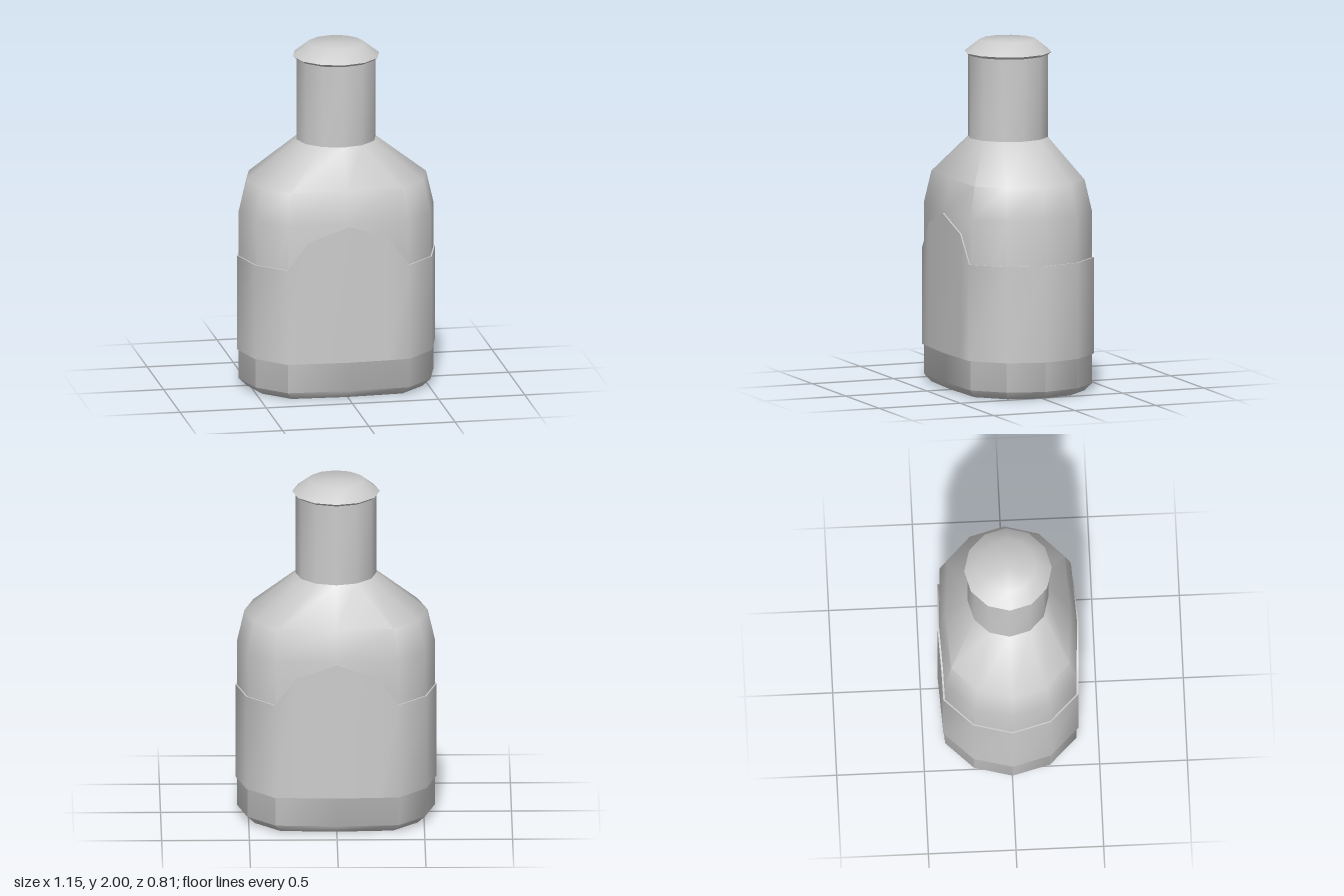
import * as THREE from 'three';
import { toCreasedNormals } from 'three/addons/utils/BufferGeometryUtils.js';

const material = new THREE.MeshStandardMaterial({ color: 0xcccccc });

// Mirror a quarter outline (+x axis round to +z axis) into a full ring
function fullRing(quarter) {
  const half = [...quarter, ...quarter.slice(0, -1).reverse().map(([x, z, t]) => [-x, z, t])];
  return [...half, ...half.slice(1, -1).reverse().map(([x, z, t]) => [x, -z, t])];
}

// Skin a stack of rings from bottom to top, optionally closing the ends
function loft(rings, capBottom, capTop) {
  const n = rings[0].length;
  const pos = rings.flat(2);
  const index = [];
  for (let i = 0; i < rings.length - 1; i++) {
    for (let j = 0; j < n; j++) {
      const k = (j + 1) % n;
      const a = i * n + j, b = i * n + k, c = a + n, d = b + n;
      index.push(a, c, b, b, c, d);
    }
  }
  const cap = (ring, start, up) => {
    const centre = pos.length / 3;
    pos.push(0, ring[0][1], 0);
    for (let j = 0; j < n; j++) {
      const p = start + j, q = start + (j + 1) % n;
      index.push(centre, up ? q : p, up ? p : q);
    }
  };
  if (capBottom) cap(rings[0], 0, false);
  if (capTop) cap(rings[rings.length - 1], (rings.length - 1) * n, true);
  const geometry = new THREE.BufferGeometry();
  geometry.setAttribute('position', new THREE.Float32BufferAttribute(pos, 3));
  geometry.setIndex(index);
  return toCreasedNormals(geometry, THREE.MathUtils.degToRad(50));
}

export function createModel() {
  const model = new THREE.Group();
  model.name = 'bottle';
  const add = (name, geometry) => {
    const mesh = new THREE.Mesh(geometry, material);
    mesh.name = name;
    model.add(mesh);
  };

  const outline = fullRing([[0.565, 0], [0.507, 0.217], [0.35, 0.375], [0, 0.393]]);
  const section = (y, sx, sz) => outline.map(([x, z]) => [x * sx, y, z * sz]);
  const circle = (y, r) => outline.map((_, j) => {
    const a = j * Math.PI / 6;
    return [r * Math.cos(a), y, r * Math.sin(a)];
  });

  // Body with chamfered base and sloping shoulders
  add('body', loft([
    section(0, 0.915, 0.9),
    section(0.045, 1, 1),
    section(1.03, 1, 1),
    section(1.215, 0.925, 0.905),
    circle(1.44, 0.23),
  ], true, false));

  // Neck
  add('neck', loft([circle(1.44, 0.23), circle(1.915, 0.23)], false, false));

  // Cap with a small overhanging lip
  add('cap', loft([circle(1.915, 0.23), circle(1.93, 0.25), circle(2, 0.16)], false, true));

  // Raised label band, peaked on the front and back; third value is its top height
  const label = fullRing([
    [0.573, 0, 0.77], [0.514, 0.221, 0.77], [0.353, 0.385, 0.77],
    [0.235, 0.391, 0.93], [0, 0.403, 1.02],
  ]);
  const inset = ([x, z]) => [x * 0.975, z * 0.965];
  const labelRing = (isTop, inner) => label.map((p) => {
    const [x, z] = inner ? inset(p) : p;
    return [x, isTop ? p[2] : 0.215, z];
  });
  add('label', loft([
    labelRing(false, true), labelRing(false, false), labelRing(true, false), labelRing(true, true),
  ], false, false));

  return model;
}
